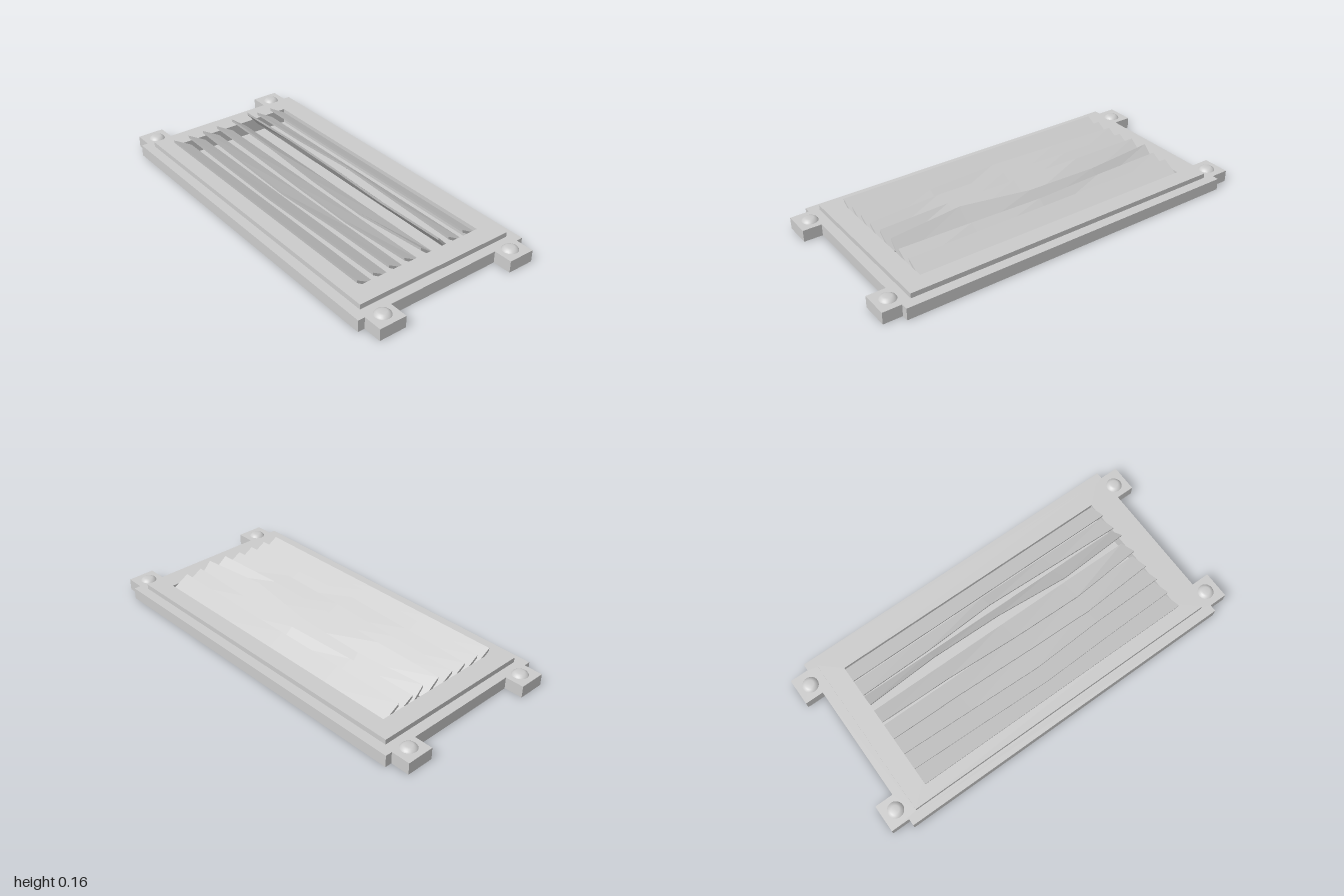
import * as THREE from 'three';

const mat = new THREE.MeshStandardMaterial({ color: 0xcccccc, flatShading: true, side: THREE.DoubleSide });
const smooth = new THREE.MeshStandardMaterial({ color: 0xcccccc });

const rect = (x, z) => [[-x, -z], [x, -z], [x, z], [-x, z]];

function add(group, name, geometry, material = mat) {
  const mesh = new THREE.Mesh(geometry, material);
  mesh.name = name;
  group.add(mesh);
  return mesh;
}

// Joins equal-length rings of points with quads; optionally caps the end rings
function loft(rings, caps = false) {
  const n = rings[0].length, index = [];
  for (let r = 0; r < rings.length - 1; r++) {
    for (let i = 0; i < n; i++) {
      const a = r * n + i, b = r * n + (i + 1) % n;
      index.push(a, a + n, b, b, a + n, b + n);
    }
  }
  if (caps) {
    const e = (rings.length - 1) * n;
    index.push(0, 1, 2, 0, 2, 3, e, e + 2, e + 1, e, e + 3, e + 2);
  }
  const g = new THREE.BufferGeometry();
  g.setAttribute('position', new THREE.Float32BufferAttribute(rings.flat(2), 3));
  g.setIndex(index);
  const flat = g.toNonIndexed();
  flat.computeVertexNormals();
  return flat;
}

// Upright wall that follows a plan outline
function wall(outline, y0, y1) {
  return loft([y1, y0].map(y => outline.map(([x, z]) => [x, y, z])));
}

// Flat sheet facing up, with an optional hole
function sheet(outline, y, hole) {
  const toPoints = list => list.map(([x, z]) => new THREE.Vector2(x, -z));
  const shape = new THREE.Shape(toPoints(outline));
  if (hole) shape.holes.push(new THREE.Path(toPoints(hole)));
  return new THREE.ShapeGeometry(shape).rotateX(-Math.PI / 2).translate(0, y, 0);
}

export function createModel() {
  const model = new THREE.Group();
  model.name = 'louveredVent';

  // Hollow base with four mounting tabs in its outline
  const bx = 0.905, bz = 0.48, tx = 1, t0 = 0.305, t1 = 0.445;
  const side = [[bx, -bz], [bx, -t1], [tx, -t1], [tx, -t0], [bx, -t0],
    [bx, t0], [tx, t0], [tx, t1], [bx, t1], [bx, bz]];
  const outline = [...side, ...side.map(([x, z]) => [-x, -z])];
  const step = rect(0.855, 0.43), opening = rect(0.755, 0.34);
  add(model, 'baseSkirt', wall(outline, 0, 0.06));
  add(model, 'baseTop', sheet(outline, 0.06, step));

  // Raised frame around the opening
  add(model, 'frameSides', wall(step, 0.06, 0.085));
  add(model, 'frameTop', sheet(step, 0.085, opening));

  // Recessed pan behind the louvers
  add(model, 'panWalls', wall(opening, 0.005, 0.085));
  add(model, 'panFloor', sheet(opening, 0.005));

  // Louvers: z and y offsets of the top edge at five stations along x
  const straight = [0, 0, 0, 0, 0];
  const dents = [
    [straight, straight],
    [[0, 0.01, 0.022, 0.009, 0], [0, 0.004, 0.012, 0.005, 0]],
    [[0, 0.012, 0.025, 0.006, 0], [0, 0.002, 0.003, 0.002, 0]],
    [[0, 0.004, 0.017, 0.024, 0], [0, 0.001, 0.003, 0.003, 0]],
    [[-0.008, -0.004, 0.012, 0.019, -0.008], [0.012, 0.01, 0.004, 0.003, 0.012]],
    [[-0.022, -0.045, -0.038, 0, -0.024], [0.022, 0.012, 0.014, 0.039, 0.022]],
    [[0, -0.006, -0.025, -0.012, 0], [0, 0, 0.003, 0.002, 0]],
    [straight, straight],
  ];
  const louvers = new THREE.Group();
  louvers.name = 'louvers';
  model.add(louvers);
  dents.forEach(([dz, dy], i) => {
    const z0 = 0.366 - 0.0875 * i;
    const rings = dz.map((d, k) => {
      const x = -0.755 + 1.51 * k / 4, zt = z0 + d, yt = 0.118 + dy[k];
      return [[x, yt, zt], [x, yt - 0.015, zt - 0.002],
        [x, 0.045, z0 - 0.092], [x, 0.06, z0 - 0.1]];
    });
    add(louvers, 'louver', loft(rings, true));
  });

  // Domed screw heads on the tabs
  const profile = [[0.04, 0], [0.036, 0.006], [0.028, 0.012], [0.019, 0.016], [0, 0.016]]
    .map(([r, y]) => new THREE.Vector2(r, y));
  for (const x of [-0.932, 0.932]) {
    for (const z of [-0.373, 0.373]) {
      add(model, 'screwHead', new THREE.LatheGeometry(profile, 24), smooth).position.set(x, 0.06, z);
    }
  }
  return model;
}
